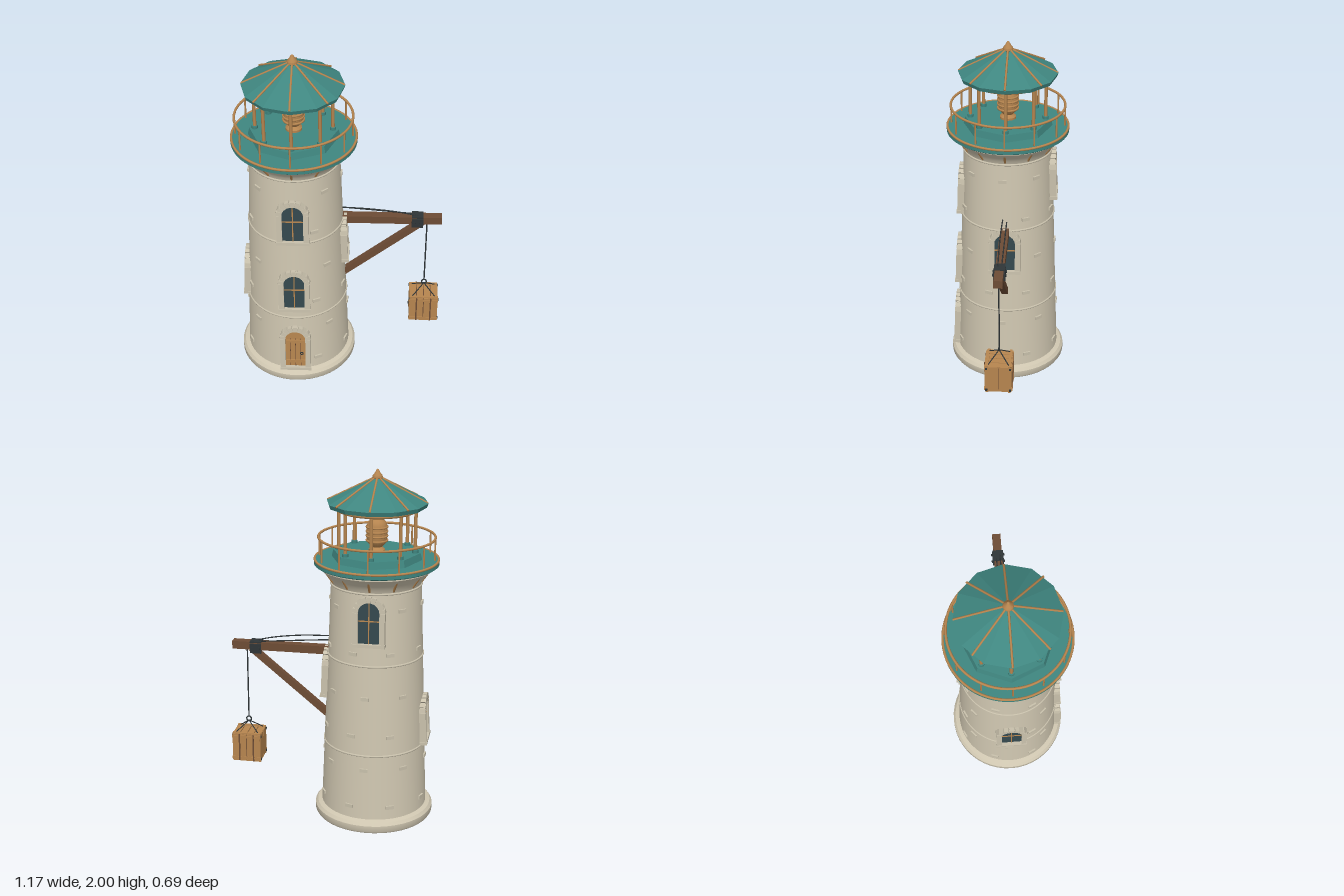
import * as THREE from 'three';
import { toCreasedNormals } from 'three/addons/utils/BufferGeometryUtils.js';

const flat = (name, color) => {
  const m = new THREE.MeshStandardMaterial({ color });
  m.name = name;
  return m;
};
const V = (x, y, z) => new THREE.Vector3(x, y, z);

export function createModel() {
  const wall = flat('wall stone', 0xd0c7b1);
  const trim = flat('trim stone', 0xc9c1ac);
  const teal = flat('teal paint', 0x3f8680);
  const wood = flat('golden wood', 0xb6854f);
  const dark = flat('dark wood', 0x6d4c35);
  const glass = flat('window glass', 0x34484e);
  const iron = flat('iron', 0x2f3537);

  const model = new THREE.Group();
  model.name = 'lighthouse';
  const tower = new THREE.Group();
  tower.name = 'tower';
  tower.position.x = -0.24;
  model.add(tower);

  const add = (parent, name, geo, mat, x = 0, y = 0, z = 0) => {
    const m = new THREE.Mesh(geo, mat);
    m.name = name;
    m.position.set(x, y, z);
    parent.add(m);
    return m;
  };
  const box = (p, name, mat, w, h, d, x, y, z) => add(p, name, new THREE.BoxGeometry(w, h, d), mat, x, y, z);
  const lathe = (p, name, mat, pts, seg = 48) => add(p, name,
    toCreasedNormals(new THREE.LatheGeometry(pts.map(a => new THREE.Vector2(...a)), seg), 0.6), mat);
  const hoop = (p, name, mat, r, tube, y) => {
    const m = add(p, name, new THREE.TorusGeometry(r, tube, 8, 64), mat, 0, y, 0);
    m.rotation.x = Math.PI / 2;
    return m;
  };
  // straight round or square bar between two points
  const bar = (p, name, mat, a, b, r, sides = 8) => {
    const m = add(p, name, new THREE.CylinderGeometry(r, r, a.distanceTo(b), sides), mat);
    m.position.copy(a).lerp(b, 0.5);
    m.quaternion.setFromUnitVectors(V(0, 1, 0), b.clone().sub(a).normalize());
    return m;
  };
  const around = (n, fn) => {
    for (let i = 0; i < n; i++) {
      const a = i / n * Math.PI * 2;
      fn((r, y) => V(Math.sin(a) * r, y, Math.cos(a) * r), a);
    }
  };
  const radiusAt = y => 0.3 - (y - 0.07) * 0.0385;

  // Tower body
  lathe(tower, 'base', wall, [[0, 0], [0.33, 0], [0.338, 0.012], [0.338, 0.045], [0.325, 0.062], [0.298, 0.07]]);
  lathe(tower, 'wall', wall, [[radiusAt(0.06), 0.06], [radiusAt(1.39), 1.39]]);
  lathe(tower, 'cornice', wall, [[0.249, 1.38], [0.256, 1.4], [0.275, 1.425], [0.305, 1.455], [0.315, 1.465], [0.315, 1.482], [0, 1.482]]);
  for (const y of [0.45, 0.97, 1.375]) hoop(tower, 'wallBand', trim, radiusAt(y), 0.006, y);

  // Arched openings: [angle, bottom height, is door]
  const openings = [[0, 0.08, true], [0, 0.515, false], [0, 0.98, false],
    [Math.PI / 2, 0.71, false], [Math.PI, 1.09, false], [-Math.PI / 2, 0.46, false]];

  const archShape = (w, h) => {
    const s = new THREE.Shape();
    s.moveTo(-w, 0);
    s.lineTo(w, 0);
    s.lineTo(w, h);
    s.absarc(0, h, w, 0, Math.PI, false);
    s.lineTo(-w, 0);
    return s;
  };
  for (const [angle, y, isDoor] of openings) {
    const turn = new THREE.Group();
    turn.name = isDoor ? 'door' : 'window';
    turn.rotation.y = angle;
    tower.add(turn);
    const g = new THREE.Group();
    g.name = 'opening';
    g.position.set(0, y, radiusAt(y));
    g.rotation.x = -0.0385;
    turn.add(g);
    const h = isDoor ? 0.22 : 0.185;
    // surround
    const frame = archShape(0.082, h);
    frame.holes.push(archShape(0.06, h));
    add(g, 'surround', new THREE.ExtrudeGeometry(frame, { depth: 0.055, bevelEnabled: false, curveSegments: 14 }), trim, 0, 0, -0.037);
    for (const s of [-1, 1]) box(g, 'jamb', trim, 0.03, h, 0.06, s * 0.073, h / 2, -0.008);
    box(g, 'sill', trim, 0.182, 0.018, 0.065, 0, 0.004, -0.006);
    for (let i = 0; i < 9; i++) {
      const a = (i + 0.5) / 9 * Math.PI;
      const b = box(g, 'archStone', trim, 0.032, 0.022, 0.06, Math.cos(a) * 0.074, h + Math.sin(a) * 0.074, -0.008);
      b.rotation.z = a;
    }
    // leaf or pane
    add(g, isDoor ? 'doorLeaf' : 'pane', new THREE.ExtrudeGeometry(archShape(0.061, h),
      { depth: 0.006, bevelEnabled: false, curveSegments: 14 }), isDoor ? wood : glass, 0, 0, -0.001);
    if (isDoor) {
      for (const x of [-0.03, 0, 0.03]) box(g, 'plankGap', dark, 0.003, h, 0.003, x, h / 2, 0.005);
      for (const yy of [0.05, 0.2]) box(g, 'doorBatten', wood, 0.112, 0.018, 0.008, 0, yy, 0.008);
      add(g, 'handle', new THREE.TorusGeometry(0.008, 0.003, 6, 12), iron, 0.036, 0.11, 0.01);
    } else {
      box(g, 'mullion', wood, 0.006, h + 0.056, 0.006, 0, (h + 0.056) / 2, 0.006);
      box(g, 'transom', wood, 0.116, 0.006, 0.006, 0, h * 0.75, 0.006);
    }
  }

  // Scattered stones standing slightly proud of the wall
  [0.14, 0.365, 0.56, 0.785, 1.035, 1.275].forEach((y, row) => around(8, (at, a) => {
    const t = a + 0.45 + (row % 2) * 0.28;
    const blocked = openings.some(([o, b]) => Math.cos(t - o) > 0.93 && y > b - 0.04 && y < b + 0.33);
    if (blocked) return;
    const r = radiusAt(y);
    box(tower, 'wallStone', trim, 0.045, 0.02, 0.016, Math.sin(t) * r, y, Math.cos(t) * r).rotation.y = t;
  }));

  // Gallery deck, braces and railing
  lathe(tower, 'galleryDeck', teal, [[0, 1.478], [0.335, 1.478], [0.343, 1.484], [0.343, 1.504], [0.335, 1.51], [0, 1.51]], 64);
  hoop(tower, 'deckEdge', wood, 0.338, 0.007, 1.507);
  hoop(tower, 'handrail', wood, 0.318, 0.007, 1.63);
  around(12, at => {
    bar(tower, 'railPost', wood, at(0.318, 1.5), at(0.318, 1.63), 0.005);
    bar(tower, 'deckBrace', wood, at(0.248, 1.39), at(0.312, 1.48), 0.007);
  });

  // Lantern room
  add(tower, 'lanternFloor', toCreasedNormals(new THREE.CylinderGeometry(0.24, 0.25, 0.04, 8), 0.3), teal, 0, 1.528, 0);
  around(8, at => {
    bar(tower, 'lanternPost', wood, at(0.21, 1.54), at(0.21, 1.8), 0.0095);
    bar(tower, 'postFoot', teal, at(0.21, 1.54), at(0.21, 1.565), 0.017);
  });
  hoop(tower, 'ringBeam', wood, 0.212, 0.011, 1.787);
  lathe(tower, 'lamp', wood, [[0.045, 1.54], [0.045, 1.56], [0.03, 1.575], [0.052, 1.6], [0.057, 1.63],
    [0.057, 1.69], [0.046, 1.715], [0.03, 1.728], [0, 1.73]], 20);
  for (const y of [1.61, 1.635, 1.66, 1.685]) hoop(tower, 'lampRing', wood, 0.056, 0.006, y);

  // Roof
  const roof = new THREE.LatheGeometry([[0, 1.8], [0.268, 1.8], [0.276, 1.823], [0.02, 1.952], [0, 1.952]]
    .map(a => new THREE.Vector2(...a)), 12);
  add(tower, 'roof', toCreasedNormals(roof, 0.1), teal);
  around(8, at => bar(tower, 'roofRib', wood, at(0.272, 1.824), at(0.02, 1.952), 0.006, 6));
  lathe(tower, 'finial', wood, [[0.02, 1.942], [0.028, 1.952], [0.027, 1.964], [0.016, 1.978], [0.006, 1.997], [0, 2]], 16);

  // Crane
  const crane = new THREE.Group();
  crane.name = 'crane';
  model.add(crane);
  box(crane, 'beam', dark, 0.57, 0.046, 0.048, 0.297, 0.962, 0);
  const a = V(0.02, 0.565, 0), b = V(0.475, 0.945, 0);
  const strut = box(crane, 'strut', dark, a.distanceTo(b), 0.036, 0.036, 0, 0, 0);
  strut.position.copy(a).lerp(b, 0.5);
  strut.rotation.z = Math.atan2(b.y - a.y, b.x - a.x);
  for (const s of [-1, 1]) {
    box(crane, 'bracket', iron, 0.065, 0.055, 0.008, 0.445, 0.948, s * 0.028);
    for (const x of [0.425, 0.465]) {
      const bolt = add(crane, 'bolt', new THREE.CylinderGeometry(0.008, 0.008, 0.012, 8), iron, x, 0.95, s * 0.032);
      bolt.rotation.x = Math.PI / 2;
    }
  }
  box(crane, 'bracketTop', iron, 0.065, 0.008, 0.06, 0.445, 0.986, 0);
  const rope = (name, pts) => add(crane, name,
    new THREE.TubeGeometry(new THREE.CatmullRomCurve3(pts), 16, 0.0035, 6), iron);
  rope('upperRope', [V(0, 1.04, 0.012), V(0.18, 1.032, 0.014), V(0.34, 1.012, 0.012), V(0.46, 0.985, 0.01)]);
  rope('lowerRope', [V(0, 1.025, -0.01), V(0.2, 1.008, -0.01), V(0.44, 0.986, -0.01)]);
  bar(crane, 'hoistRope', iron, V(0.5, 0.95, 0), V(0.5, 0.515, 0), 0.004);
  add(crane, 'hookRing', new THREE.TorusGeometry(0.014, 0.004, 8, 20), iron, 0.5, 0.503, 0);

  // Hanging crate
  const crate = new THREE.Group();
  crate.name = 'crate';
  crate.position.set(0.5, 0.35, 0);
  model.add(crate);
  box(crate, 'crateCore', dark, 0.15, 0.15, 0.136, 0, 0, 0);
  for (const s of [-1, 1]) {
    for (let i = 0; i < 4; i++) {
      const x = (i - 1.5) * 0.041;
      box(crate, 'facePlank', wood, 0.036, 0.162, 0.008, x, 0, s * 0.07);
      box(crate, 'lidPlank', wood, 0.036, 0.008, 0.146, x, s * 0.078, 0);
    }
    for (const t of [-1, 1]) {
      box(crate, 'sidePlank', wood, 0.008, 0.162, 0.071, s * 0.079, 0, t * 0.037);
      box(crate, 'crossBatten', wood, 0.17, 0.014, 0.006, 0, t * 0.066, s * 0.075);
      box(crate, 'lidBatten', wood, 0.166, 0.008, 0.014, 0, s * 0.084, t * 0.062);
      box(crate, 'strap', dark, 0.008, 0.166, 0.003, t * 0.041, 0, s * 0.0775);
      for (const u of [-1, 1]) box(crate, 'cornerBolt', iron, 0.006, 0.012, 0.012, s * 0.084, t * 0.07, u * 0.066);
      bar(crate, 'sling', iron, V(0, 0.142, 0), V(s * 0.07, 0.082, t * 0.06), 0.003, 6);
    }
  }
  return model;
}
